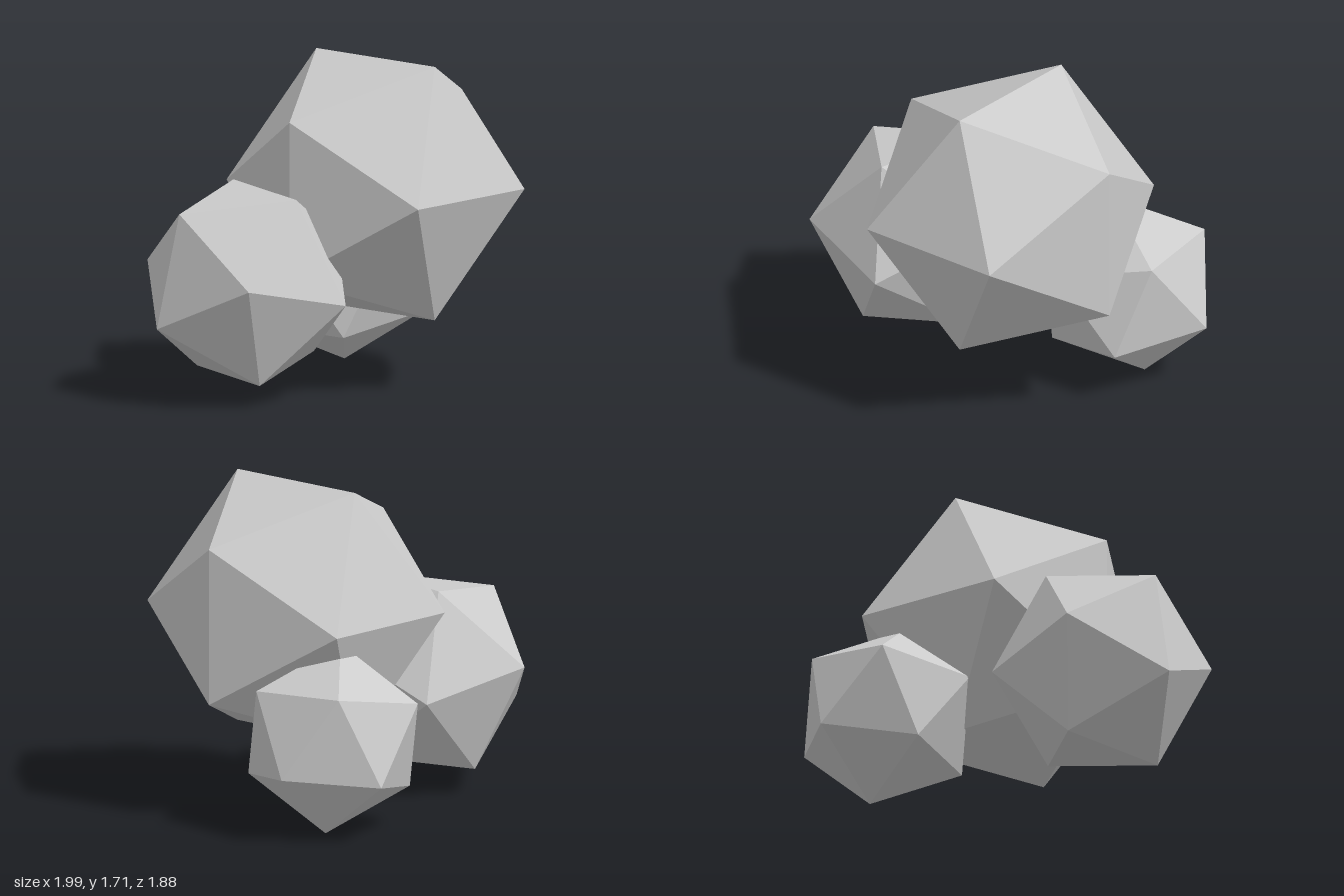
import * as THREE from 'three';

// Orthonormal frame whose z runs through one corner and whose x leans to an adjacent corner
function frame(pole, neighbour) {
  const z = new THREE.Vector3(...pole).normalize();
  const y = new THREE.Vector3().crossVectors(z, new THREE.Vector3(...neighbour)).normalize();
  const x = new THREE.Vector3().crossVectors(y, z);
  return new THREE.Matrix4().makeBasis(x, y, z);
}

// Two adjacent corners of the built-in icosahedron
const PHI = (1 + Math.sqrt(5)) / 2;
const unturn = frame([0, 1, PHI], [0, -1, PHI]).invert();

export function createModel() {
  const group = new THREE.Group();
  group.name = 'rockCluster';
  const material = new THREE.MeshStandardMaterial({ color: 0xcccccc, flatShading: true });

  // Each rock is placed by its centre, radius and the directions of two adjacent corners
  const rocks = [
    { name: 'largeRock', radius: 0.785, centre: [0.297, 1.05, 0.15], pole: [0, 0, 1], neighbour: [2, 0, 1] },
    { name: 'mediumRock', radius: 0.58, centre: [-0.468, 0.61, 0.383], pole: [-0.152, 0.051, 0.557], neighbour: [-0.02, -0.49, 0.31] },
    { name: 'smallRock', radius: 0.494, centre: [0.28, 0.49, -0.5], pole: [0.06, -0.485, -0.07], neighbour: [-0.08, -0.29, 0.39] },
  ];

  for (const { name, radius, centre, pole, neighbour } of rocks) {
    const rock = new THREE.Mesh(new THREE.IcosahedronGeometry(radius, 0), material);
    rock.name = name;
    rock.quaternion.setFromRotationMatrix(frame(pole, neighbour).multiply(unturn));
    rock.position.set(...centre);
    group.add(rock);
  }
  return group;
}
